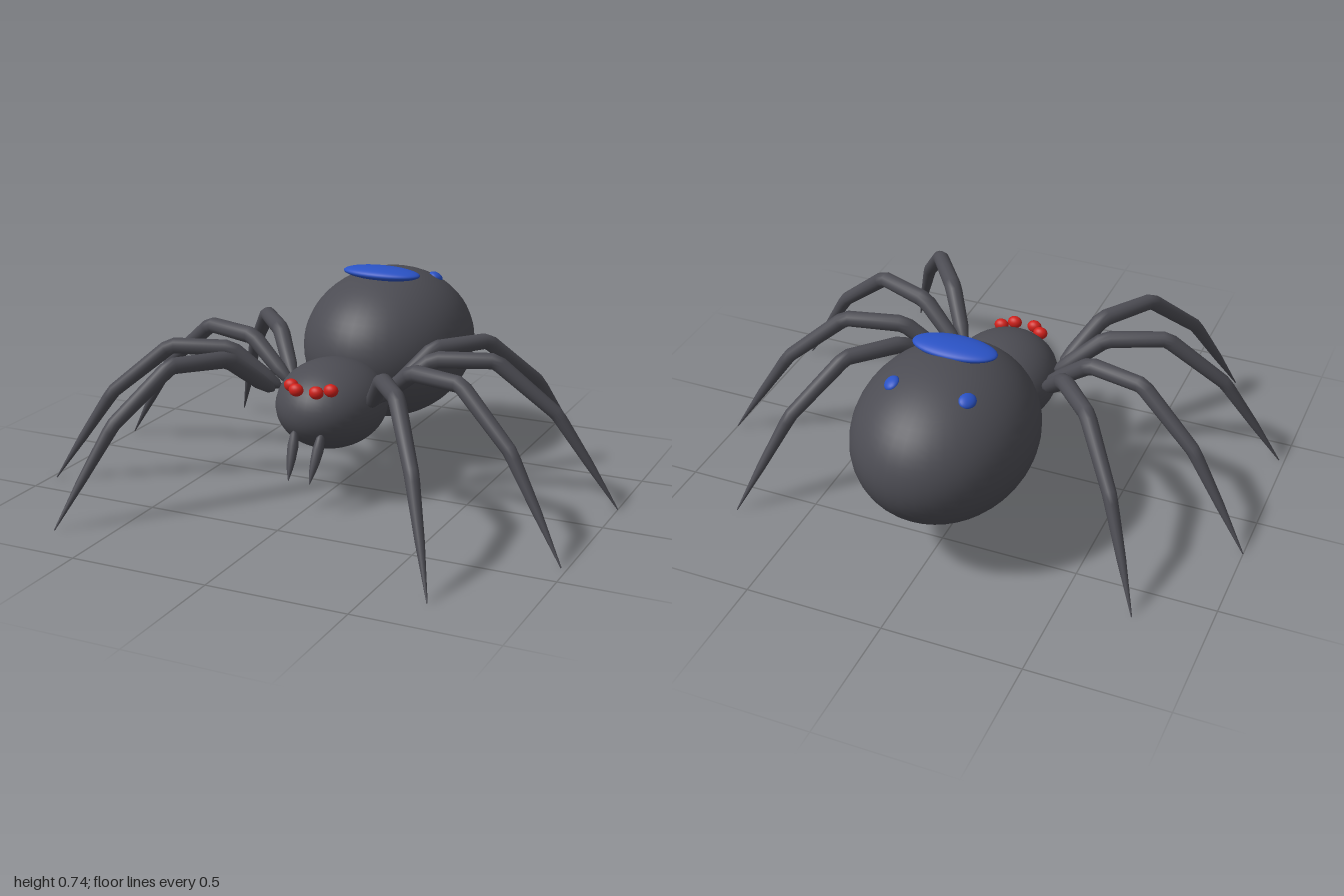
import * as THREE from 'three';

const material = (name, color) => {
  const m = new THREE.MeshStandardMaterial({ color });
  m.name = name;
  return m;
};

// Tapered limb: rings of [distance, height, radius] in the XY plane, smooth normals
function limbGeometry(sections, sides = 14) {
  const positions = [], index = [];
  const pts = sections.map(([x, y]) => new THREE.Vector2(x, y));
  sections.forEach(([x, y, r], i) => {
    const a = pts[Math.max(i - 1, 0)], b = pts[Math.min(i + 1, pts.length - 1)];
    const t = b.clone().sub(a).normalize();
    for (let j = 0; j < sides; j++) {
      const ang = (j / sides) * Math.PI * 2;
      const n = r * Math.cos(ang);
      positions.push(x - t.y * n, y + t.x * n, r * Math.sin(ang));
    }
  });
  for (let i = 0; i < sections.length - 1; i++) {
    for (let j = 0; j < sides; j++) {
      const a = i * sides + j, b = i * sides + (j + 1) % sides;
      index.push(a, b, a + sides, b, b + sides, a + sides);
    }
  }
  // End caps
  const last = (sections.length - 1) * sides;
  for (let j = 1; j < sides - 1; j++) {
    index.push(0, j + 1, j, last, last + j, last + j + 1);
  }
  const g = new THREE.BufferGeometry();
  g.setAttribute('position', new THREE.Float32BufferAttribute(positions, 3));
  g.setIndex(index);
  g.computeVertexNormals();
  return g;
}

export function createModel() {
  const group = new THREE.Group();
  const grey = material('charcoal', 0x4c4c53);
  const blue = material('blue', 0x2a52c4);
  const red = material('red', 0xd0201a);

  const ellipsoid = (name, mat, center, radii, segments = 32) => {
    const mesh = new THREE.Mesh(new THREE.SphereGeometry(1, segments, segments * 0.75), mat);
    mesh.name = name;
    mesh.position.set(...center);
    mesh.scale.set(...radii);
    group.add(mesh);
    return mesh;
  };

  // Body
  ellipsoid('abdomen', grey, [0, 0.44, -0.447], [0.315, 0.283, 0.383], 40);
  ellipsoid('head', grey, [0, 0.34, 0.065], [0.197, 0.159, 0.226], 36);

  // Markings on the abdomen
  ellipsoid('largeMarking', blue, [0, 0.722, -0.366], [0.153, 0.025, 0.07]);
  for (const side of [-1, 1]) {
    const spot = ellipsoid('smallMarking', blue, [side * 0.135, 0.676, -0.575], [0.028, 0.016, 0.033], 20);
    const normal = new THREE.Vector3(side * 1.36, 2.96, -0.87).normalize();
    spot.quaternion.setFromUnitVectors(new THREE.Vector3(0, 1, 0), normal);
    spot.rotateY(side * 0.4);
  }

  // Eyes
  for (const side of [-1, 1]) {
    ellipsoid('outerEye', red, [side * 0.077, 0.442, 0.236], [0.027, 0.023, 0.021], 20);
    ellipsoid('innerEye', red, [side * 0.039, 0.44, 0.274], [0.027, 0.023, 0.021], 20);
  }

  // Fangs, pointing down and forward
  const fangGeometry = limbGeometry([
    [0, 0.285, 0.006], [0.006, 0.272, 0.015], [0.022, 0.235, 0.02],
    [0.042, 0.195, 0.017], [0.06, 0.16, 0.011], [0.077, 0.123, 0.001],
  ], 12);
  for (const side of [-1, 1]) {
    const fang = new THREE.Mesh(fangGeometry, grey);
    fang.name = 'fang';
    fang.position.set(side * 0.052, 0, 0.26);
    fang.rotation.y = -Math.PI / 2 + side * -0.14;
    group.add(fang);
  }

  // Legs: one bent profile turned outward at four angles
  const legGeometry = limbGeometry([
    [-0.015, 0.385, 0.008], [0.0, 0.395, 0.02], [0.04, 0.424, 0.028],
    [0.15, 0.512, 0.031], [0.182, 0.524, 0.031], [0.37, 0.529, 0.029],
    [0.398, 0.516, 0.029], [0.596, 0.353, 0.025], [0.617, 0.325, 0.024],
    [0.722, 0.168, 0.016], [0.828, 0.006, 0.002],
  ]);
  const legs = [ // base x, base z, foot x, foot z
    [0.2, 0.162, 0.692, 0.832],
    [0.2, 0.112, 0.978, 0.392],
    [0.2, 0.03, 0.996, -0.183],
    [0.2, -0.014, 0.737, -0.628],
  ];
  for (const side of [-1, 1]) {
    legs.forEach(([bx, bz, fx, fz], i) => {
      const leg = new THREE.Mesh(legGeometry, grey);
      leg.name = `${side > 0 ? 'left' : 'right'}Leg${i + 1}`;
      leg.position.set(side * bx, 0, bz);
      leg.rotation.y = Math.atan2(-(fz - bz), side * (fx - bx));
      group.add(leg);
    });
  }

  return group;
}
